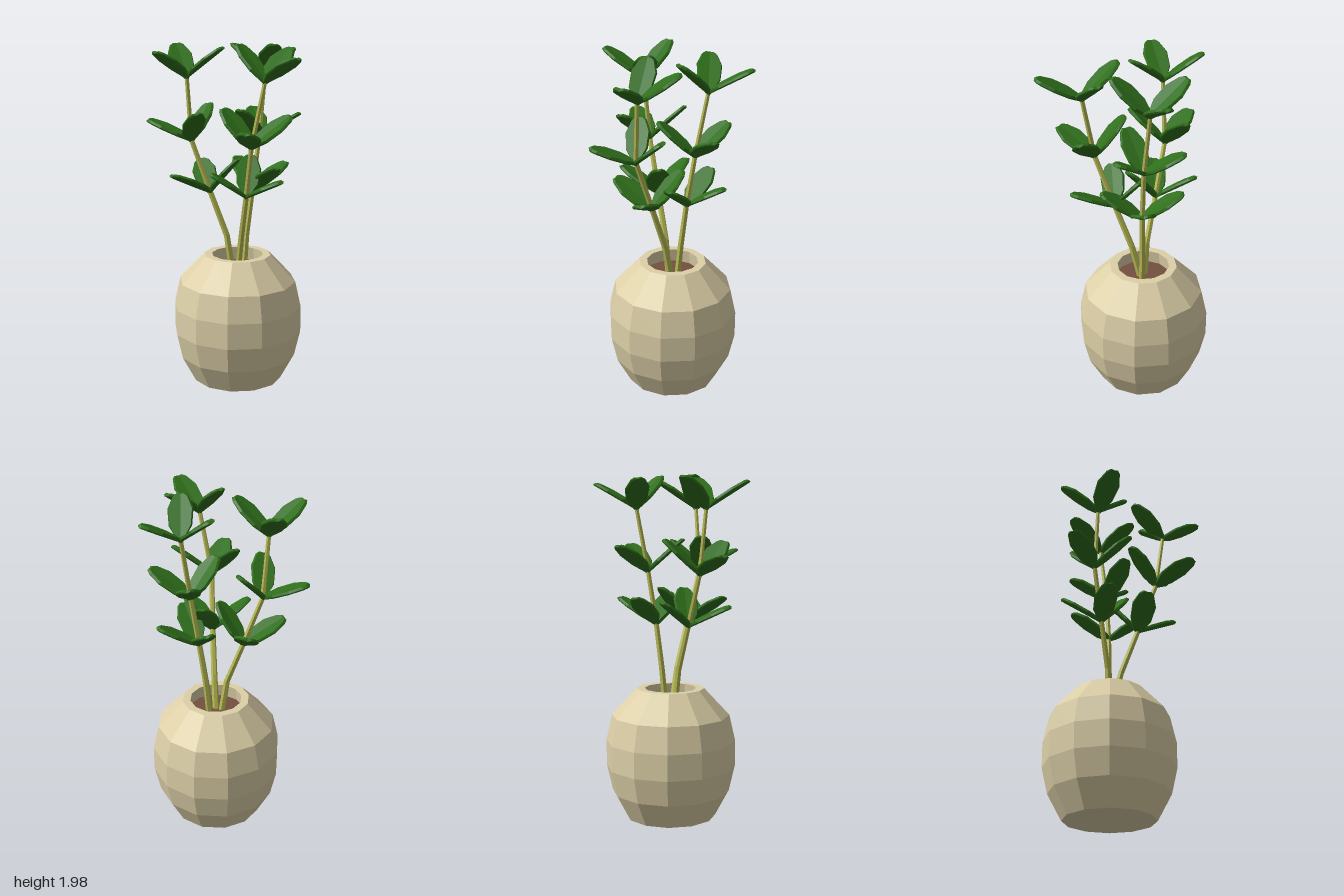
import * as THREE from 'three';
import { ConvexGeometry } from 'three/addons/geometries/ConvexGeometry.js';
import { mergeGeometries } from 'three/addons/utils/BufferGeometryUtils.js';

const V = (x, y, z) => new THREE.Vector3(x, y, z);
const UP = V(0, 1, 0);
const mat = (color, extra = {}) => new THREE.MeshStandardMaterial({ color, flatShading: true, roughness: 0.9, ...extra });

// Folded leaf along +x: two mirrored half plates with a bevelled rim
function leafGeometry() {
  const outline = [[0, 0.012], [0.09, 0.062], [0.19, 0.07], [0.265, 0.042], [0.285, 0.022]];
  const fold = 0.12, thick = 0.02;
  const halves = [1, -1].map((side) => {
    const pts = [];
    const add = (x, y, w) => pts.push(V(x, y + fold * w, side * w));
    add(0, 0, 0);
    add(0, thick, 0);
    add(0.285, 0, 0);
    add(0.275, thick, 0);
    for (const [x, w] of outline) {
      add(x, thick * 0.35, w);
      add(x * 0.965, thick, w * 0.9);
      add(x * 0.98, 0, w * 0.93);
    }
    return new ConvexGeometry(pts);
  });
  return mergeGeometries(halves);
}

// Each stem: path points, then the leaf directions (degrees, from +x towards +z) at its last three points
const STEMS = [
  {
    path: [[0.03, 0.66, -0.05], [0.0, 0.87, -0.042], [-0.095, 1.13, -0.03], [-0.2, 1.43, -0.015], [-0.218, 1.79, 0.015]],
    leaves: [[15, 135, 255], [180, 62, 300], [12, 126, 245]],
  },
  {
    path: [[0.065, 0.66, -0.05], [0.09, 0.87, -0.005], [0.13, 1.13, 0.085], [0.172, 1.43, 0.19], [0.245, 1.79, 0.205]],
    leaves: [[28, 146, 265], [92, 212, 330], [41, 213, 293]],
  },
  {
    path: [[0.095, 0.66, -0.08], [0.108, 0.87, -0.095], [0.138, 1.13, -0.115], [0.17, 1.43, -0.15], [0.195, 1.79, -0.21]],
    leaves: [[50, 320, 235], [1, 116, 250], [73, 198, 305]],
  },
];

function buildStem({ path, leaves }, leafGeo, leafMat, stemMat) {
  const plant = new THREE.Group();
  plant.name = 'stemWithLeaves';
  const pts = path.map((p) => V(...p));
  const radius = (i) => 0.02 - 0.002 * i;

  // Straight tapered stem segments
  for (let i = 0; i < pts.length - 1; i++) {
    const dir = pts[i + 1].clone().sub(pts[i]);
    const len = dir.length() + 0.008;
    const seg = new THREE.Mesh(new THREE.CylinderGeometry(radius(i + 1), radius(i), len, 6), stemMat);
    seg.name = 'stemSegment';
    seg.position.copy(pts[i]).addScaledVector(dir.normalize(), len / 2);
    seg.quaternion.setFromUnitVectors(UP, dir);
    plant.add(seg);
  }

  // Whorls of three leaves, tilted with the stem
  leaves.forEach((angles, k) => {
    const i = k + 2;
    const axis = pts[i].clone().sub(pts[i - 1]).normalize().lerp(UP, 0.35).normalize();
    const whorl = new THREE.Group();
    whorl.name = 'leafWhorl';
    whorl.position.copy(pts[i]);
    whorl.quaternion.setFromUnitVectors(UP, axis);
    for (const a of angles) {
      const leaf = new THREE.Mesh(leafGeo, leafMat);
      leaf.name = 'leaf';
      leaf.rotation.set(0, -THREE.MathUtils.degToRad(a), THREE.MathUtils.degToRad(36));
      leaf.position.y = -0.012;
      whorl.add(leaf);
    }
    plant.add(whorl);
  });
  return plant;
}

export function createModel() {
  const model = new THREE.Group();
  model.name = 'pottedPlant';

  // Twelve-sided pot with an open neck and hollow inside
  const profile = [
    [0, 0], [0.262, 0], [0.342, 0.15], [0.376, 0.3], [0.376, 0.45], [0.342, 0.6],
    [0.195, 0.757], [0.15, 0.757], [0.165, 0.64], [0, 0.64],
  ].map(([r, y]) => new THREE.Vector2(r, y));
  const pot = new THREE.Mesh(new THREE.LatheGeometry(profile, 12), mat(0xddd0a8, { side: THREE.DoubleSide }));
  pot.name = 'pot';
  pot.position.set(0.06, 0, -0.063);
  model.add(pot);

  // Soil disc inside the neck
  const soil = new THREE.Mesh(new THREE.CylinderGeometry(0.158, 0.162, 0.03, 12), mat(0x745040));
  soil.name = 'soil';
  soil.position.set(0.06, 0.665, -0.063);
  model.add(soil);

  // Three leafy stems
  const leafGeo = leafGeometry();
  const leafMat = mat(0x2f6f1b);
  const stemMat = mat(0xb9bc55);
  for (const s of STEMS) model.add(buildStem(s, leafGeo, leafMat, stemMat));
  return model;
}
